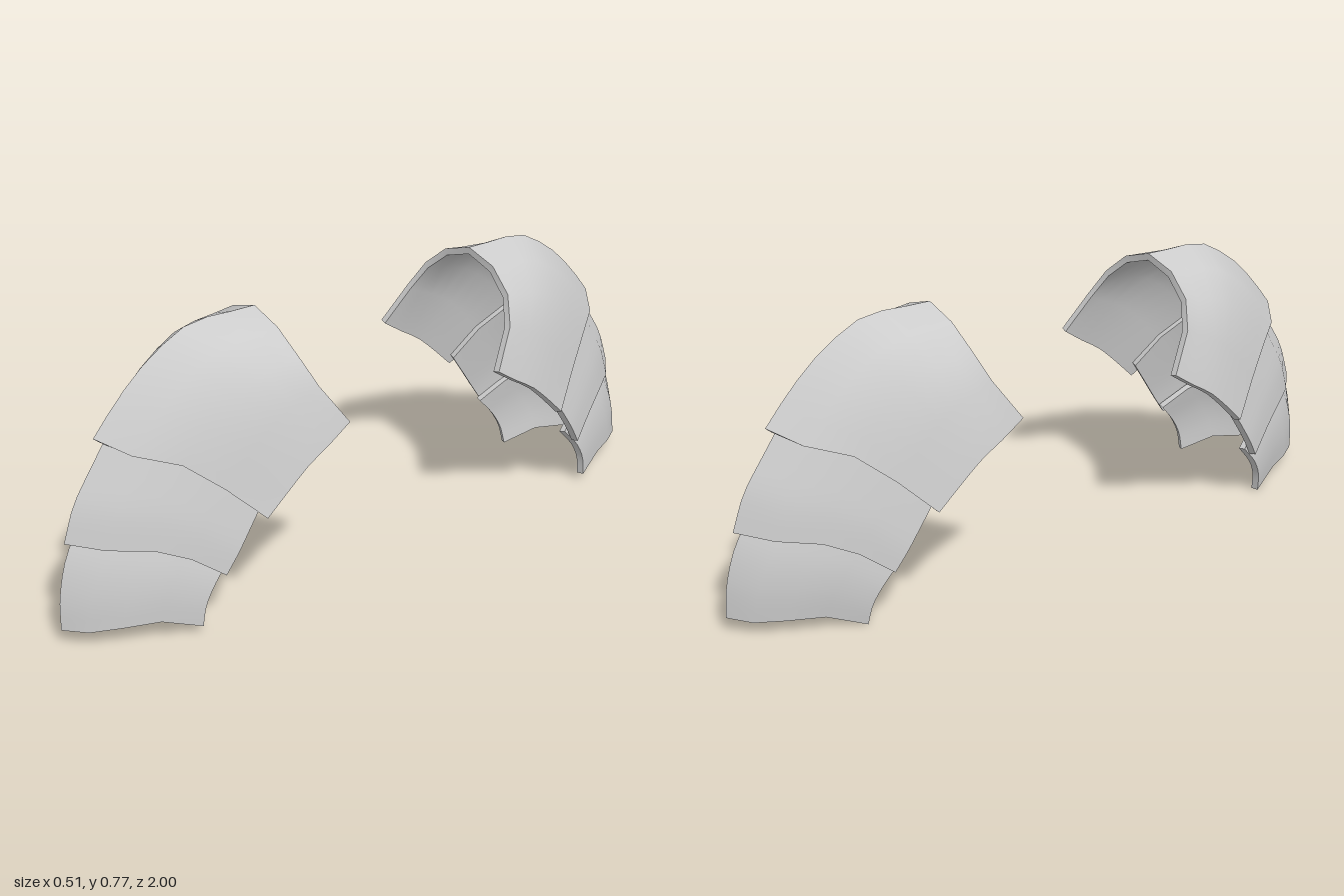
import * as THREE from 'three';
import { toCreasedNormals } from 'three/addons/utils/BufferGeometryUtils.js';

const THICK = 0.02;
const ROWS = 8;
const V = (p) => new THREE.Vector3(...p);

// Half-sections run from the ridge (x = 0) to the side end as [x, y, z].
// ridge and end are the inner points [x, y, z] of the paths joining top to bottom.
const plates = [
  {
    name: 'upperPlate', shift: 0, tilt: 0,
    top: [[0, .775, .37], [.1, .745, .37], [.175, .685, .36], [.22, .61, .33], [.255, .505, .26]],
    bottom: [[0, .54, .86], [.08, .505, .8], [.15, .475, .7], [.2, .4, .61], [.25, .31, .52]],
    ridge: [[0, .775, .465], [0, .775, .56], [0, .74, .64], [0, .69, .715], [0, .62, .79]],
    end: [[.257, .46, .33], [.257, .425, .39], [.255, .375, .45]],
  },
  {
    name: 'middlePlate', shift: .005, tilt: .03,
    top: [[0, .57, .8], [.08, .54, .745], [.14, .505, .66], [.185, .435, .58], [.222, .345, .51]],
    bottom: [[0, .285, .965], [.075, .27, .89], [.14, .26, .79], [.18, .225, .71], [.214, .165, .63]],
    ridge: [[0, .47, .87], [0, .38, .93]],
    end: [[.223, .28, .555], [.222, .22, .595]],
  },
  {
    name: 'lowerPlate', shift: .014, tilt: .06,
    top: [[0, .33, .915], [.075, .305, .845], [.13, .28, .755], [.165, .245, .68], [.193, .19, .6]],
    bottom: [[0, .053, .998], [.055, .05, .95], [.1, .055, .88], [.142, .057, .79], [.18, .022, .69]],
    ridge: [[0, .24, .965], [0, .14, .992]],
    end: [[.193, .135, .65], [.187, .08, .68]],
  },
];

// Curved shell plate: blend four edges into a half surface, mirror it, give it thickness
function plateGeometry(p, side) {
  const top = p.top.map(V), bottom = p.bottom.map(V);
  const n = top.length - 1, cols = 2 * n + 1;
  const path = (mid, k) => new THREE.CatmullRomCurve3([top[k], ...mid.map(V), bottom[k]], false, 'centripetal');
  const ridge = path(p.ridge, 0), end = path(p.end, n);

  const half = (k, v) => {
    const u = k / n;
    const across = top[k].clone().lerp(bottom[k], v);
    const along = ridge.getPointAt(v).lerp(end.getPointAt(v), u);
    const corners = top[0].clone().lerp(top[n], u).lerp(bottom[0].clone().lerp(bottom[n], u), v);
    return across.add(along).sub(corners);
  };

  const outer = [];
  for (let j = 0; j <= ROWS; j++) {
    for (let i = 0; i < cols; i++) {
      const q = half(Math.abs(i - n), j / ROWS);
      if (i < n) q.x *= -1;
      q.y += p.tilt * q.x;
      q.x += p.shift * j / ROWS;
      outer.push(q);
    }
  }
  const id = (j, i) => j * cols + i;
  const at = (j, i) => outer[id(THREE.MathUtils.clamp(j, 0, ROWS), THREE.MathUtils.clamp(i, 0, cols - 1))];

  // Inner skin, offset against the surface normal
  const inner = [];
  for (let j = 0; j <= ROWS; j++) {
    for (let i = 0; i < cols; i++) {
      const du = at(j, i + 1).clone().sub(at(j, i - 1));
      const dv = at(j + 1, i).clone().sub(at(j - 1, i));
      inner.push(at(j, i).clone().addScaledVector(dv.cross(du).normalize(), -THICK));
    }
  }

  const index = [], off = outer.length;
  const tri = (a, b, c) => (side > 0 ? index.push(a, b, c) : index.push(a, c, b));
  for (let j = 0; j < ROWS; j++) {
    for (let i = 0; i < cols - 1; i++) {
      const a = id(j, i), b = id(j, i + 1), c = id(j + 1, i), d = id(j + 1, i + 1);
      tri(a, c, b); tri(b, c, d);
      tri(off + a, off + b, off + c); tri(off + b, off + d, off + c);
    }
  }

  // Rim around the four edges
  const loop = [];
  for (let i = 0; i < cols - 1; i++) loop.push(id(0, i));
  for (let j = 0; j < ROWS; j++) loop.push(id(j, cols - 1));
  for (let i = cols - 1; i > 0; i--) loop.push(id(ROWS, i));
  for (let j = ROWS; j > 0; j--) loop.push(id(j, 0));
  loop.forEach((a, k) => {
    const b = loop[(k + 1) % loop.length];
    tri(a, b, off + a); tri(b, off + b, off + a);
  });

  const geo = new THREE.BufferGeometry().setFromPoints(
    [...outer, ...inner].map((q) => new THREE.Vector3(q.x, q.y, q.z * side)));
  geo.setIndex(index);
  return toCreasedNormals(geo, 0.52);
}

export function createModel() {
  const model = new THREE.Group();
  model.name = 'shoulderGuards';
  const material = new THREE.MeshStandardMaterial({ color: 0xcccccc });

  // Front guard and its mirror image at the back
  for (const side of [1, -1]) {
    const guard = new THREE.Group();
    guard.name = side > 0 ? 'frontShoulderGuard' : 'backShoulderGuard';
    for (const p of plates) {
      const mesh = new THREE.Mesh(plateGeometry(p, side), material);
      mesh.name = p.name;
      guard.add(mesh);
    }
    model.add(guard);
  }
  return model;
}
